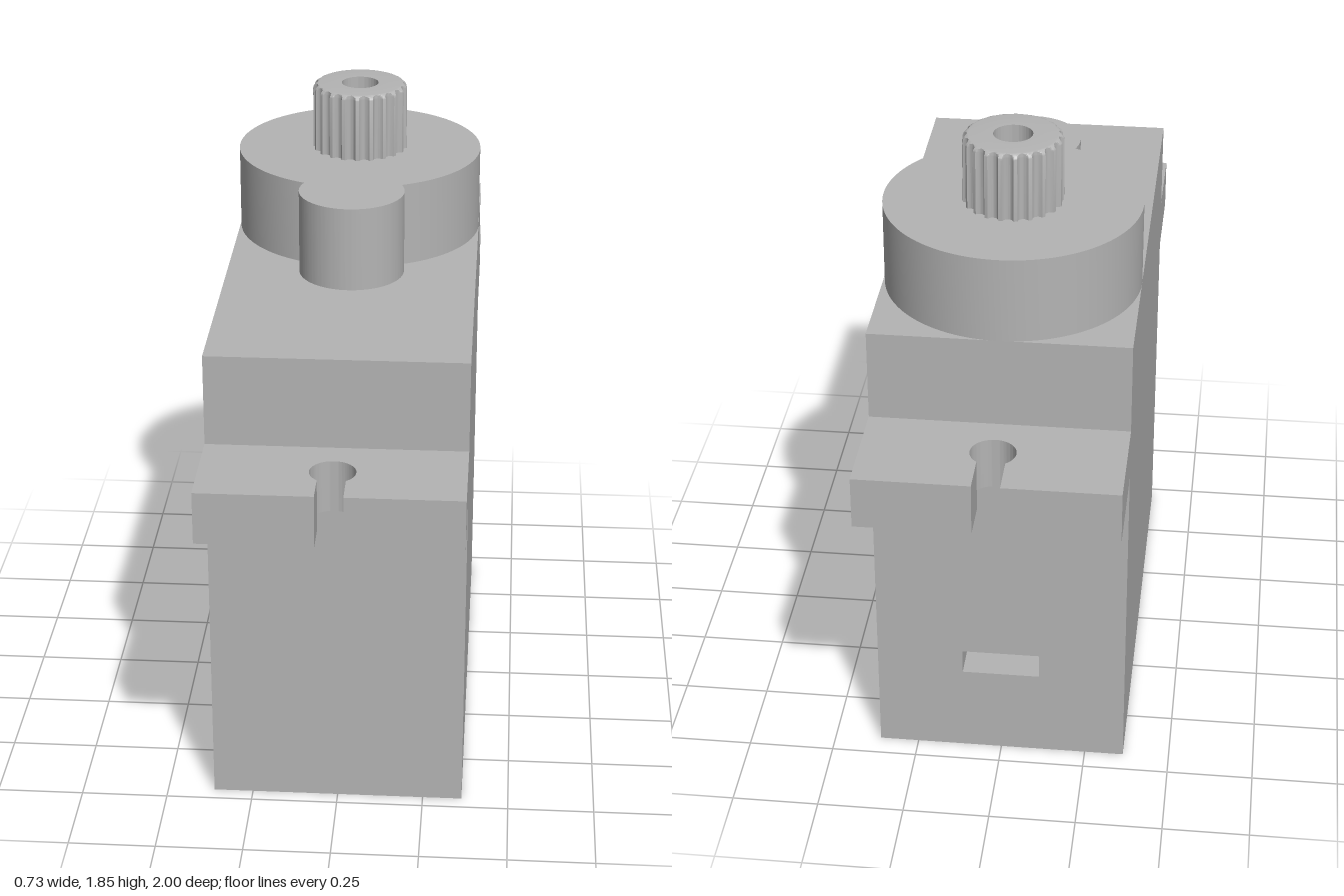
import * as THREE from 'three';
import { toCreasedNormals } from 'three/addons/utils/BufferGeometryUtils.js';

const HALF = 0.364, FRONT = 0.707, BACK = -0.683, GEAR_Z = -0.32;

export function createModel() {
  const grey = new THREE.MeshStandardMaterial({ color: 0xb4b4b4 });
  grey.name = 'grey plastic';
  const group = new THREE.Group();
  group.name = 'servoMotor';

  const add = (name, geometry) => {
    const mesh = new THREE.Mesh(geometry, grey);
    mesh.name = name;
    group.add(mesh);
    return mesh;
  };
  // Extrude a plan shape (shape y = -z) upwards from y0 to y1
  const slab = (shape, y0, y1) => toCreasedNormals(
    new THREE.ExtrudeGeometry(shape, { depth: y1 - y0, bevelEnabled: false, curveSegments: 48 })
      .rotateX(-Math.PI / 2).translate(0, y0, 0), 0.5);

  // Case: solid block plus a rear wall pierced by the cable slot
  const wall = 0.2, height = 1.403;
  const length = FRONT - BACK - wall;
  add('caseBody', new THREE.BoxGeometry(HALF * 2, height, length)
    .translate(0, height / 2, FRONT - length / 2));
  const rect = (Type, x, y0, y1) => {
    const p = new Type();
    p.moveTo(-x, y0); p.lineTo(x, y0); p.lineTo(x, y1); p.lineTo(-x, y1);
    p.closePath();
    return p;
  };
  const rear = rect(THREE.Shape, HALF, 0, height);
  rear.holes.push(rect(THREE.Path, 0.113, 0.27, 0.345));
  add('caseRearWall', new THREE.ExtrudeGeometry(rear, { depth: wall, bevelEnabled: false })
    .translate(0, 0, BACK));

  // Mounting ears with keyhole slots
  const ear = (inner, holeAt) => {
    const r = 0.064, w = 0.039, a = Math.acos(w / r);
    const s = new THREE.Shape();
    s.moveTo(-HALF, inner);
    s.lineTo(HALF, inner);
    s.lineTo(HALF, 1);
    s.lineTo(w, 1);
    s.lineTo(w, holeAt + Math.sin(a) * r);
    s.absarc(0, holeAt, r, a, -Math.PI - a, true);
    s.lineTo(-w, 1);
    s.lineTo(-HALF, 1);
    s.closePath();
    return slab(s, 0.986, 1.138);
  };
  add('rearEar', ear(-BACK, 0.829));
  add('frontEar', ear(FRONT, 0.853)).rotation.y = Math.PI;

  // Gear housing: large round boss merged with a small one in front
  const R = HALF, r = 0.153, smallZ = 0.07, d = smallZ - GEAR_Z;
  const a = (d * d + R * R - r * r) / (2 * d), h = Math.sqrt(R * R - a * a);
  const big = Math.atan2(-a, h), small = Math.atan2(d - a, h);
  const boss = new THREE.Shape();
  boss.absarc(0, -GEAR_Z, R, big, Math.PI - big, false);
  boss.absarc(0, -smallZ, r, Math.PI - small, Math.PI * 2 + small, false);
  add('gearHousing', slab(boss, height, 1.651));

  // Output shaft: fluted sides, rounded top edge and a screw bore
  const teeth = 21, steps = 8, n = teeth * steps, outer = 0.141, fillet = 0.018;
  const base = 1.651, top = 1.85;
  const rows = [[outer, base], [outer, top - fillet]];
  for (let i = 1; i <= 6; i++) {
    const t = i / 6 * Math.PI / 2;
    rows.push([outer - fillet * (1 - Math.cos(t)), top - fillet * (1 - Math.sin(t))]);
  }
  rows.push([0.055, top], [0.055, 1.7], [0, 1.7]);
  const pos = [], index = [];
  rows.forEach(([radius, y], row) => {
    for (let i = 0; i <= n; i++) {
      const t = i / n * Math.PI * 2;
      const u = ((i % steps) / steps - 0.5) / 0.36;
      const flute = Math.abs(u) < 1 ? outer - 0.013 * Math.sqrt(1 - u * u) : outer;
      const q = Math.min(radius, flute);
      pos.push(Math.sin(t) * q, y, GEAR_Z + Math.cos(t) * q);
      if (row && i) {
        const k = row * (n + 1) + i, b = k - n - 1;
        index.push(b - 1, b, k);
        if (row < rows.length - 1) index.push(b - 1, k, k - 1);
      }
    }
  });
  const shaft = new THREE.BufferGeometry();
  shaft.setAttribute('position', new THREE.Float32BufferAttribute(pos, 3));
  shaft.setIndex(index);
  add('splinedShaft', toCreasedNormals(shaft, 0.6));

  return group;
}
